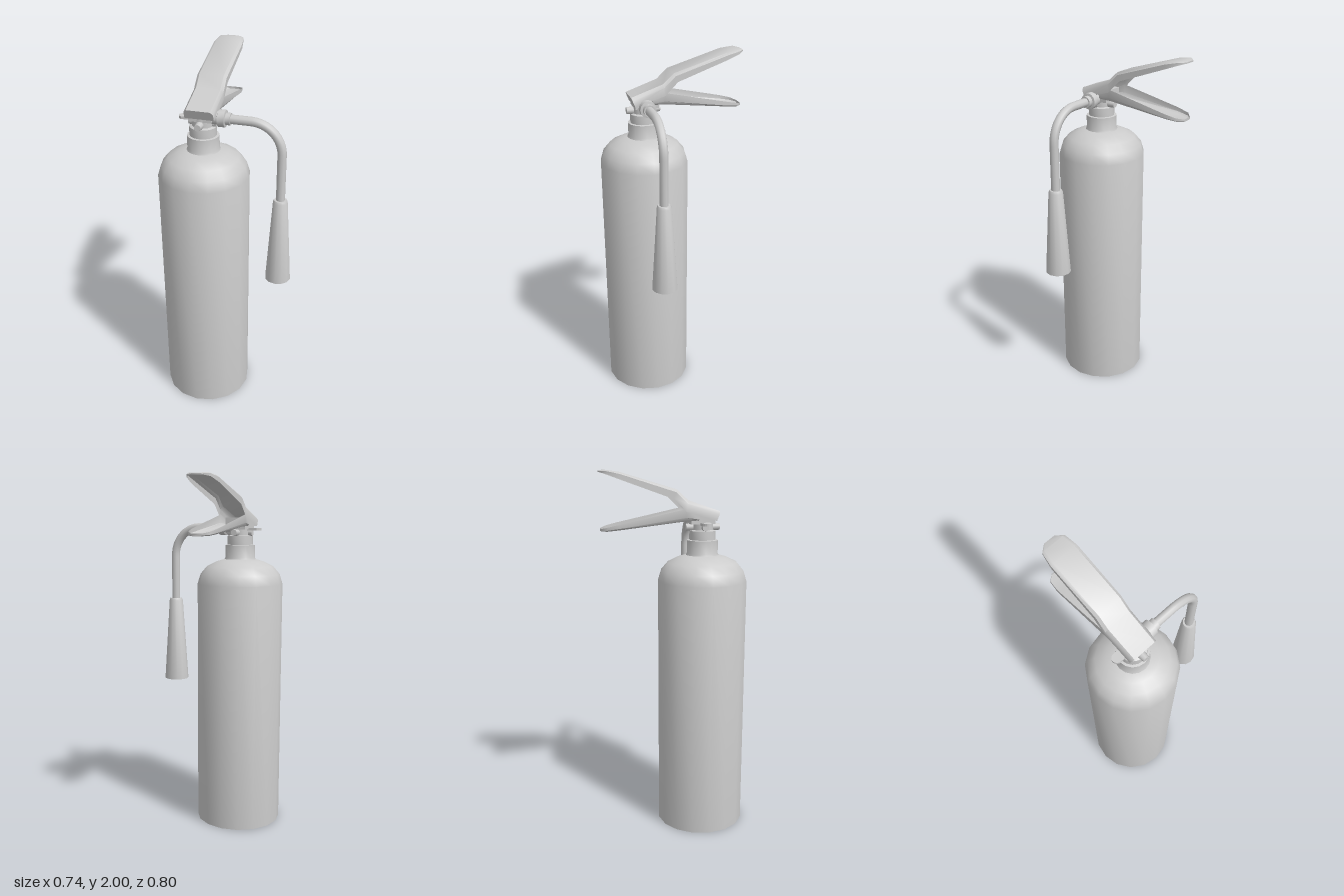
import * as THREE from 'three';
import { toCreasedNormals } from 'three/addons/utils/BufferGeometryUtils.js';

const material = new THREE.MeshStandardMaterial({ color: 0xcccccc });
const sheet = new THREE.MeshStandardMaterial({ color: 0xcccccc, side: THREE.DoubleSide });
const CX = -0.125, CZ = 0.155; // bottle axis

export function createModel() {
  const group = new THREE.Group();

  const add = (name, geometry, x = 0, y = 0, z = 0, mat = material) => {
    const mesh = new THREE.Mesh(geometry, mat);
    mesh.name = name;
    mesh.position.set(x, y, z);
    group.add(mesh);
    return mesh;
  };

  const lathe = (profile, sides) => toCreasedNormals(
    new THREE.LatheGeometry(profile.map(([r, y]) => new THREE.Vector2(r, y)), sides), 0.75);

  // Pressed-metal lever: a channel lofted through [zOuter, yOuter, zEdge, yEdge, halfWidth]
  const lever = (stations) => {
    const section = [[-1, 1], [-1, 0.3], [-0.82, 0], [0.82, 0], [1, 0.3], [1, 1]]; // [across, toward edge]
    const n = section.length, pos = [], idx = [];
    for (const [zo, yo, ze, ye, w] of stations)
      for (const [u, t] of section) pos.push(u * w, yo + (ye - yo) * t, zo + (ze - zo) * t);
    for (let i = 0; i < stations.length - 1; i++)
      for (let j = 0; j < n - 1; j++) {
        const a = i * n + j, b = a + n;
        idx.push(a, a + 1, b, a + 1, b + 1, b);
      }
    const last = (stations.length - 1) * n;
    for (let j = 1; j < n - 1; j++) {
      idx.push(0, j + 1, j); // front end
      idx.push(last, last + j, last + j + 1); // tip
    }
    // Keep the outer skin facing outward whichever way the channel opens
    if (stations[0][1] < stations[0][3])
      for (let i = 0; i < idx.length; i += 3) [idx[i], idx[i + 1]] = [idx[i + 1], idx[i]];
    const g = new THREE.BufferGeometry();
    g.setAttribute('position', new THREE.Float32BufferAttribute(pos, 3));
    g.setIndex(idx);
    return toCreasedNormals(g, 0.75);
  };

  // Bottle with rounded shoulder
  add('bottle', lathe([[0, 0], [0.245, 0], [0.245, 1.41], [0.228, 1.465], [0.19, 1.51],
    [0.135, 1.537], [0.09, 1.55], [0, 1.55]], 16), CX, 0, CZ);

  // Neck rings
  add('neck', lathe([[0.095, 1.54], [0.085, 1.56], [0.085, 1.63], [0.072, 1.632], [0.072, 1.68],
    [0.058, 1.685], [0.058, 1.74], [0, 1.74]], 16), CX, 0, CZ);

  // Valve body under the levers
  add('valveBody', new THREE.BoxGeometry(0.12, 0.065, 0.13), CX, 1.75, CZ - 0.01);

  // Small plugs on the front, back and sides of the valve
  for (let i = 0; i < 4; i++) {
    const a = i * Math.PI / 2, r = i % 2 ? 0.055 : 0.073;
    const plug = add('valvePlug', new THREE.CylinderGeometry(0.018, 0.022, 0.04, 10),
      CX + Math.sin(a) * r, 1.7, CZ + Math.cos(a) * r);
    plug.rotation.set(Math.PI / 2, 0, -a);
  }

  // Safety pin tab, rounded at its outer end
  const tab = new THREE.Shape();
  tab.moveTo(0.06, -0.026);
  tab.lineTo(0.06, 0.026);
  tab.lineTo(-0.11, 0.026);
  tab.quadraticCurveTo(-0.149, 0, -0.11, -0.026);
  const tabGeometry = new THREE.ExtrudeGeometry(tab, { depth: 0.014, bevelEnabled: false, curveSegments: 6 });
  add('pinTab', tabGeometry.rotateX(-Math.PI / 2), CX, 1.712, CZ);

  // Squeeze lever and carrying handle
  add('squeezeLever', lever([
    [0.235, 1.785, 0.215, 1.735, 0.078], [0.06, 1.845, 0.05, 1.785, 0.08],
    [0, 1.9, -0.02, 1.855, 0.08], [-0.3, 1.99, -0.3, 1.955, 0.08],
    [-0.37, 2, -0.37, 1.98, 0.068], [-0.4, 1.995, -0.4, 1.988, 0.032],
  ]), CX, 0, 0, sheet);
  add('carryHandle', lever([
    [0.12, 1.735, 0.12, 1.765, 0.07], [0.05, 1.735, 0.05, 1.8, 0.075],
    [-0.3, 1.695, -0.3, 1.725, 0.075], [-0.365, 1.688, -0.365, 1.71, 0.064],
    [-0.395, 1.687, -0.395, 1.7, 0.03],
  ]), CX, 0, 0, sheet);

  // Hose fitting, stepped down toward the hose
  const fitting = lathe([[0, -0.08], [0.035, -0.08], [0.035, -0.042], [0.045, -0.038], [0.045, -0.002],
    [0.032, 0], [0.032, 0.025], [0, 0.025]], 12);
  add('hoseFitting', fitting.rotateZ(-Math.PI / 2), 0, 1.73, CZ);

  // Hose: straight, quarter bend, straight down
  const hose = new THREE.CurvePath();
  const v = (x, y) => new THREE.Vector3(x, y, 0);
  const k = 0.165 * 0.5523;
  hose.add(new THREE.LineCurve3(v(0.01, 1.73), v(0.13, 1.73)));
  hose.add(new THREE.CubicBezierCurve3(v(0.13, 1.73), v(0.13 + k, 1.73), v(0.295, 1.565 + k), v(0.295, 1.565)));
  hose.add(new THREE.LineCurve3(v(0.295, 1.565), v(0.295, 1.28)));
  add('hose', new THREE.TubeGeometry(hose, 36, 0.024, 10), 0, 0, CZ);

  // Flared discharge horn
  add('horn', lathe([[0, 0.815], [0.071, 0.815], [0.04, 1.295], [0.034, 1.308], [0, 1.308]], 12), 0.295, 0, CZ);

  return group;
}
